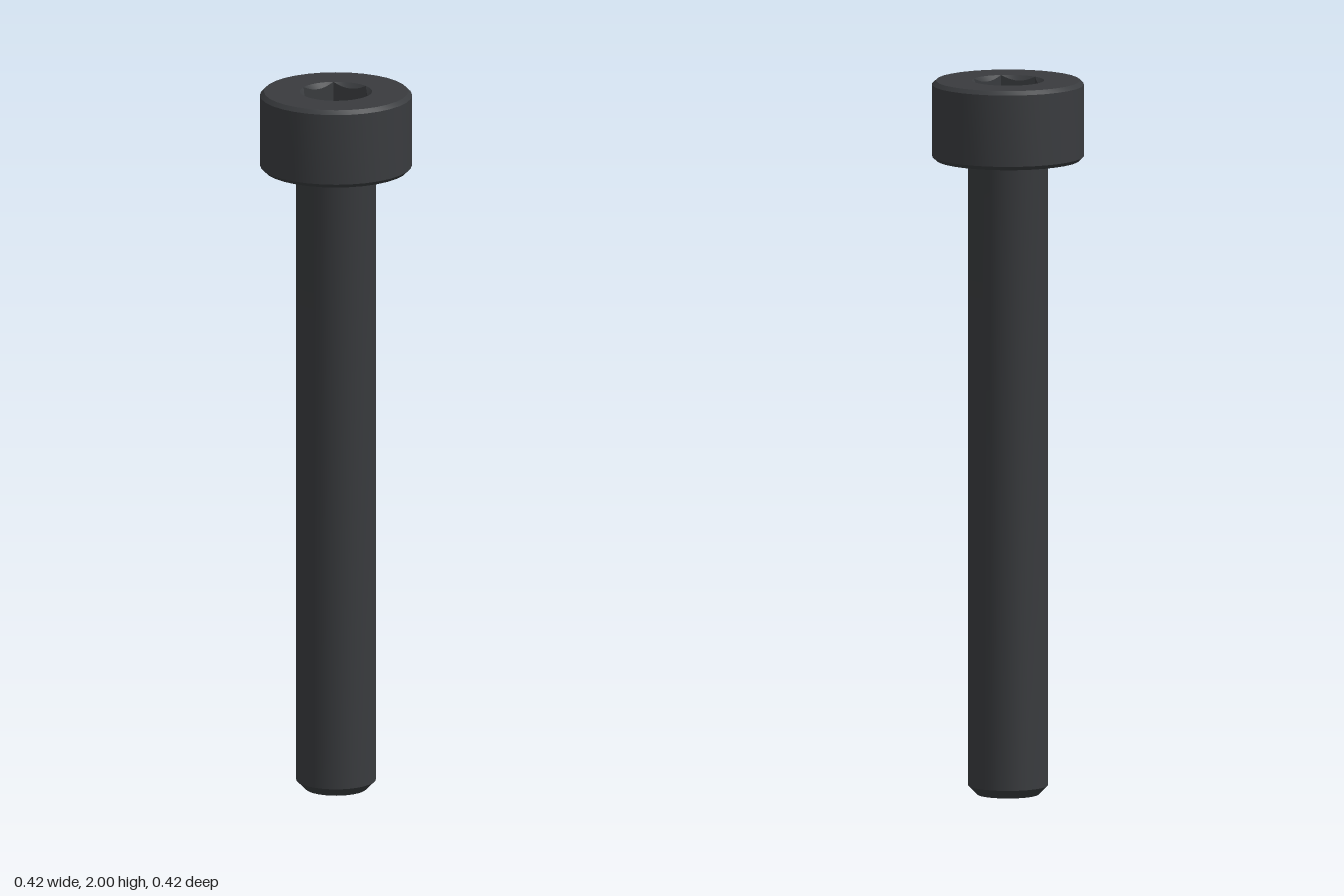
import * as THREE from 'three';
import { toCreasedNormals } from 'three/addons/utils/BufferGeometryUtils.js';

const TOP = 2, HEAD_BASE = 1.778, HEAD_R = 0.211, SHAFT_R = 0.111;
const BEVEL = 0.011, SOCKET_R = 0.1, SOCKET_FLOOR = 1.889, SIDES = 32;

// Profile of [radius, height] pairs turned about the y axis, with sharp edges kept
function turned(profile, sides = SIDES) {
  const points = profile.map(([r, y]) => new THREE.Vector2(r, y));
  return new THREE.LatheGeometry(points, sides);
}

// Hexagonal recess: a turned cup whose wall is pulled in to six flats,
// meeting a conical lead-in so that each flat gets a curved upper edge
function socketGeometry() {
  const rows = [[SOCKET_R, TOP], [SOCKET_R, TOP], [SOCKET_R, SOCKET_FLOOR], [0, SOCKET_FLOOR]];
  const geometry = turned(rows, 48);
  const pos = geometry.attributes.position;
  const apothem = SOCKET_R * Math.cos(Math.PI / 6);
  for (let i = 0; i < pos.count; i++) {
    const row = i % rows.length;
    if (row !== 1 && row !== 2) continue;
    const angle = Math.atan2(pos.getX(i), pos.getZ(i));
    const fromFlat = angle - Math.round(angle / (Math.PI / 3)) * (Math.PI / 3);
    const r = apothem / Math.cos(fromFlat);
    const y = row === 1 ? TOP - (SOCKET_R - r) : SOCKET_FLOOR;
    pos.setXYZ(i, r * Math.sin(angle), y, r * Math.cos(angle));
  }
  return geometry;
}

// Flat ring around the socket
function headFaceGeometry() {
  const circle = (r, n) => Array.from({ length: n }, (_, i) => {
    const a = (i / n) * Math.PI * 2;
    return new THREE.Vector2(r * Math.cos(a), r * Math.sin(a));
  });
  const ring = new THREE.Shape(circle(HEAD_R - BEVEL, SIDES));
  ring.holes.push(new THREE.Path(circle(SOCKET_R, 48)));
  return new THREE.ShapeGeometry(ring).rotateX(-Math.PI / 2).translate(0, TOP, 0);
}

export function createModel() {
  const model = new THREE.Group();
  model.name = 'socketHeadScrew';
  const steel = new THREE.MeshStandardMaterial({ color: 0x393b3e });

  const add = (name, geometry, parent) => {
    const mesh = new THREE.Mesh(toCreasedNormals(geometry, Math.PI / 6), steel);
    mesh.name = name;
    parent.add(mesh);
  };

  // Shaft with chamfered tip and a small fillet under the head
  const fillet = [0, 1, 2, 3, 4].map((i) => {
    const a = (i / 4) * (Math.PI / 2);
    return [SHAFT_R + BEVEL * (1 - Math.cos(a)), HEAD_BASE - BEVEL * (1 - Math.sin(a))];
  });
  add('shaft', turned([[0, 0], [0.086, 0], [SHAFT_R, 0.025], ...fillet]), model);

  // Head: bevelled rim, top face and hexagonal socket
  const head = new THREE.Group();
  head.name = 'head';
  model.add(head);
  add('headRim', turned([
    [SHAFT_R + BEVEL, HEAD_BASE],
    [HEAD_R - BEVEL, HEAD_BASE],
    [HEAD_R, HEAD_BASE + BEVEL],
    [HEAD_R, TOP - BEVEL],
    [HEAD_R - BEVEL, TOP],
  ]), head);
  add('headFace', headFaceGeometry(), head);
  add('hexSocket', socketGeometry(), head);

  return model;
}
